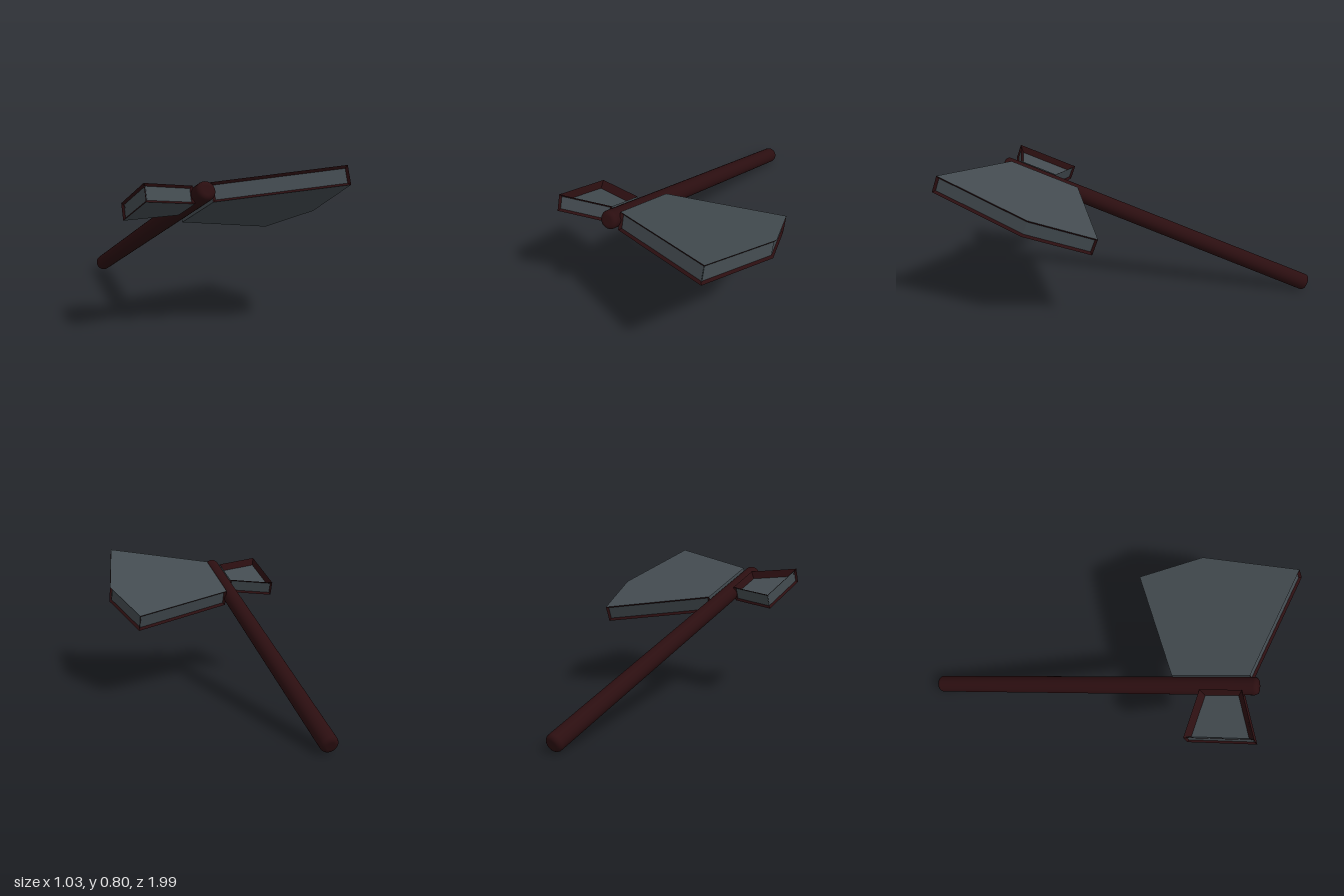
import * as THREE from 'three';

const steel = new THREE.MeshStandardMaterial({ color: 0x434b50 });
steel.name = 'dark steel';
const wood = new THREE.MeshStandardMaterial({ color: 0x2b0e10 });
wood.name = 'dark red wood';

// Collects flat faces, given as counter-clockwise corner loops
class Faces {
  constructor() { this.data = []; }
  add(...loop) {
    for (let i = 1; i < loop.length - 1; i++)
      for (const p of [loop[0], loop[i], loop[i + 1]]) this.data.push(p.x, p.y, p.z);
  }
  mesh(name, material) {
    const g = new THREE.BufferGeometry();
    g.setAttribute('position', new THREE.Float32BufferAttribute(this.data, 3));
    g.computeVertexNormals();
    const m = new THREE.Mesh(g, material);
    m.name = name;
    return m;
  }
}

// Sloping walls between an outer loop and its sunken inner loop
function addWalls(rims, outer, inner) {
  outer.forEach((p, i) => {
    const j = (i + 1) % outer.length;
    rims.add(p, outer[j], inner[j], inner[i]);
  });
}

// Sunken panel along a chain of outline corners, h = half the thickness
function addSidePanel(plates, rims, chain, h, inset, depth) {
  const n = chain.length;
  const start = new THREE.Vector3().subVectors(chain[1], chain[0]).normalize();
  const end = new THREE.Vector3().subVectors(chain[n - 1], chain[n - 2]).normalize();
  const at = (p, y) => new THREE.Vector3(p.x, y, p.z);
  const inner = chain.map((p, i) => {
    const dir = new THREE.Vector3()
      .subVectors(chain[Math.min(i + 1, n - 1)], chain[Math.max(i - 1, 0)]).normalize();
    const q = p.clone().add(new THREE.Vector3(dir.z, 0, -dir.x).multiplyScalar(depth));
    if (i === 0) q.addScaledVector(start, inset);
    if (i === n - 1) q.addScaledVector(end, -inset);
    return q;
  });
  const loop = (pts, y) => [...pts.map(p => at(p, -y)), ...pts.map(p => at(p, y)).reverse()];
  addWalls(rims, loop(chain, h), loop(inner, h - inset));
  for (let i = 0; i < n - 1; i++) {
    const a = inner[i], b = inner[i + 1], y = h - inset;
    plates.add(at(a, -y), at(b, -y), at(b, y), at(a, y));
  }
}

const outline = pts => pts.map(([x, z]) => new THREE.Vector3(x, 0, z));
const level = (pts, y) => pts.map(p => new THREE.Vector3(p.x, y, p.z));

function makeBlade() {
  const h = 0.047, plates = new Faces(), rims = new Faces();
  const pts = outline([[-0.18, 0.809], [0.41, 1.036], [0.513, 0.508], [0.41, 0.15], [-0.18, 0.395]]);
  const [a, b, tip, c, d] = pts;
  plates.add(...level(pts, h));
  plates.add(...level(pts, -h).reverse());
  for (const chain of [[a, b], [b, tip, c], [c, d]])
    addSidePanel(plates, rims, chain, h, 0.012, 0.012);
  plates.add(...level([d, a], -h), ...level([a, d], h)); // end against the handle
  const g = new THREE.Group();
  g.name = 'blade';
  g.add(plates.mesh('bladePlates', steel), rims.mesh('bladeRims', wood));
  return g;
}

function makePoll() {
  const h = 0.043, plates = new Faces(), rims = new Faces();
  const pts = outline([[-0.515, 0.85], [-0.255, 0.772], [-0.255, 0.55], [-0.515, 0.487]]);
  const [a, b, c, d] = pts;
  plates.add(...level(pts, -h).reverse());
  // sunken tray on top
  const tray = level(outline([[-0.503, 0.818], [-0.275, 0.75], [-0.275, 0.575], [-0.503, 0.518]]), h - 0.036);
  addWalls(rims, level(pts, h), tray);
  plates.add(...tray);
  for (const chain of [[a, b], [c, d], [d, a]])
    addSidePanel(plates, rims, chain, h, 0.011, 0.01);
  plates.add(...level([b, c], -h), ...level([c, b], h)); // end against the handle
  const g = new THREE.Group();
  g.name = 'poll';
  g.add(plates.mesh('pollPlates', steel), rims.mesh('pollRims', wood));
  return g;
}

function makeHandle() {
  // round bar with softened ends, running along z
  const r = 0.047, e = 0.025, back = -1.054, front = 0.852;
  const profile = [new THREE.Vector2(0, back)];
  for (let i = 0; i <= 5; i++) {
    const t = i / 5 * Math.PI / 2;
    profile.push(new THREE.Vector2(r - e + e * Math.sin(t), back + e - e * Math.cos(t)));
  }
  for (let i = 0; i <= 5; i++) {
    const t = i / 5 * Math.PI / 2;
    profile.push(new THREE.Vector2(r - e + e * Math.cos(t), front - e + e * Math.sin(t)));
  }
  profile.push(new THREE.Vector2(0, front));
  const m = new THREE.Mesh(new THREE.LatheGeometry(profile, 24).rotateX(Math.PI / 2), wood);
  m.position.x = -0.22;
  m.name = 'handle';
  return m;
}

export function createModel() {
  const axe = new THREE.Group();
  axe.name = 'axe';
  axe.add(makeHandle(), makeBlade(), makePoll());
  // the whole axe leans up towards the front
  axe.rotation.x = -20 * Math.PI / 180;
  axe.position.y = 0.397;
  const model = new THREE.Group();
  model.name = 'model';
  model.add(axe);
  return model;
}
